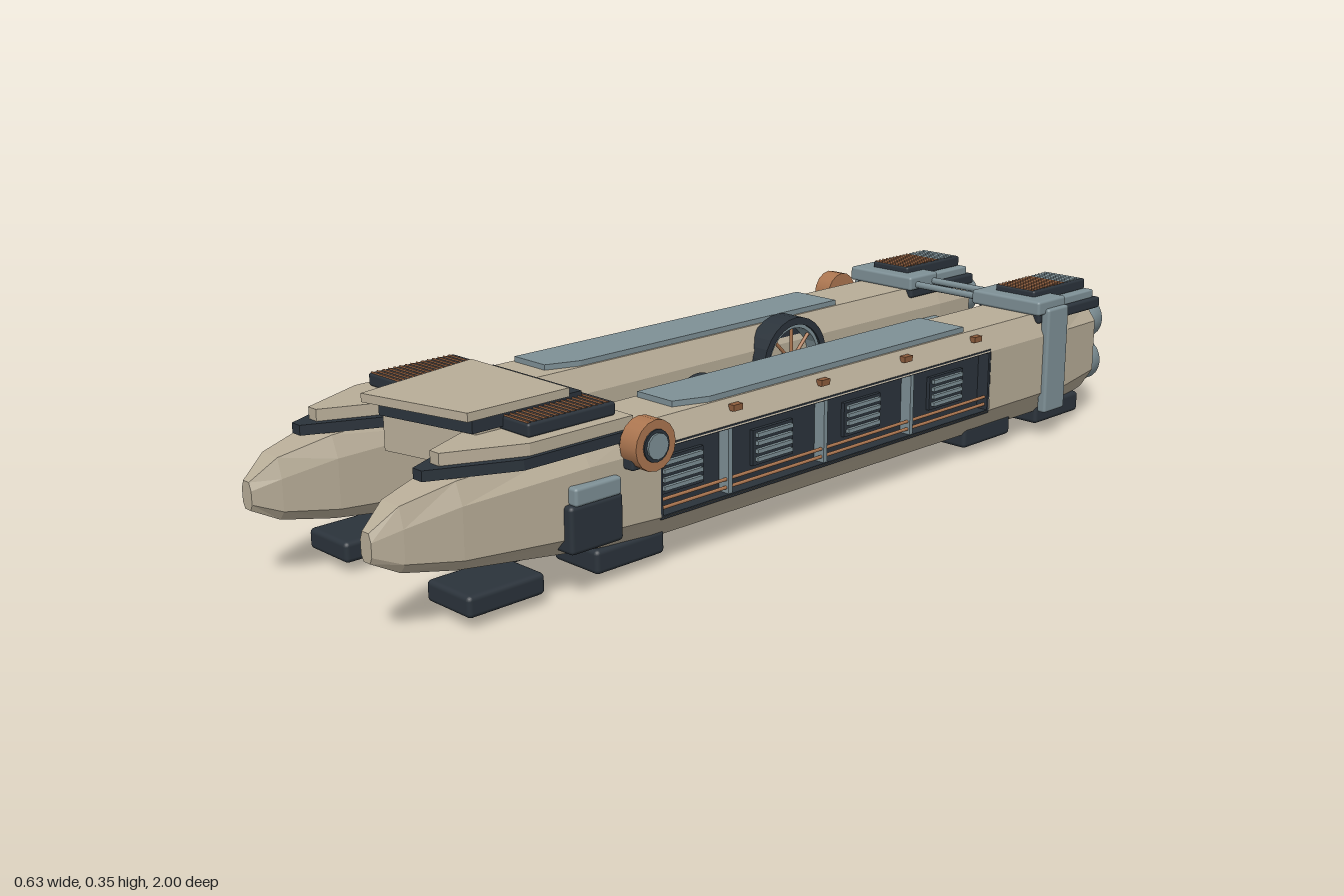
import * as THREE from 'three';
import { RoundedBoxGeometry } from 'three/addons/geometries/RoundedBoxGeometry.js';

const mat = (name, color, extra = {}) =>
  Object.assign(new THREE.MeshStandardMaterial({ color, ...extra }), { name });

export function createModel() {
  const root = new THREE.Group();
  root.name = 'twinHullCraft';
  const beige = mat('beigeHull', 0xb8ad98, { flatShading: true });
  const dark = mat('darkMetal', 0x2b333b);
  const steel = mat('blueSteel', 0x7e9096);
  const copper = mat('copper', 0xac7650);
  const brown = mat('brownSlats', 0x8c5c3c);

  const add = (parent, name, geo, m, x = 0, y = 0, z = 0) => {
    const mesh = new THREE.Mesh(geo, m);
    mesh.name = name;
    mesh.position.set(x, y, z);
    parent.add(mesh);
    return mesh;
  };
  // Box given by its limits, optionally with rounded edges
  const box = (p, name, m, [x0, x1], [y0, y1], [z0, z1], r = 0) => {
    const d = [Math.abs(x1 - x0), Math.abs(y1 - y0), Math.abs(z1 - z0)];
    const g = r ? new RoundedBoxGeometry(...d, 2, r) : new THREE.BoxGeometry(...d);
    return add(p, name, g, m, (x0 + x1) / 2, (y0 + y1) / 2, (z0 + z1) / 2);
  };
  // Flat plate from an x,z outline
  const plate = (p, name, m, pts, y0, y1) => {
    const s = new THREE.Shape(pts.map(([x, z]) => new THREE.Vector2(x, -z)));
    const g = new THREE.ExtrudeGeometry(s, { depth: y1 - y0, bevelEnabled: false });
    return add(p, name, g.rotateX(-Math.PI / 2), m, 0, y0, 0);
  };
  // Round bar between two points
  const bar = (p, name, m, a, b, r) => {
    const A = new THREE.Vector3(...a), B = new THREE.Vector3(...b), d = B.clone().sub(A);
    const mesh = add(p, name, new THREE.CylinderGeometry(r, r, d.length(), 8), m);
    mesh.position.copy(A).add(B).multiplyScalar(0.5);
    mesh.quaternion.setFromUnitVectors(new THREE.Vector3(0, 1, 0), d.normalize());
    return mesh;
  };

  // Hull sections: z, half widths (top, side, bottom), heights (top, shoulder, chine, bottom)
  const sections = [
    [1.0, .009, .015, .009, .2, .185, .16, .148],
    [.95, .024, .034, .02, .237, .2, .14, .122],
    [.85, .042, .058, .034, .26, .22, .126, .103],
    [.6, .06, .085, .05, .278, .235, .112, .073],
    [.44, .065, .09, .052, .283, .235, .105, .055],
    [-.52, .065, .09, .052, .283, .235, .105, .05],
    [-.8, .065, .09, .052, .283, .235, .105, .05],
    [-.93, .05, .075, .045, .265, .23, .115, .07],
  ];
  const ring = ([z, t, w, b, yt, ys, yc, yb]) => [
    [-t, yt], [t, yt], [w, ys], [w, yc], [b, yb], [-b, yb], [-w, yc], [-w, ys],
  ].map(([x, y]) => [x, y, z]);

  function hullGeometry(s) {
    const pos = [];
    const tri = (a, b, c) => (s > 0 ? [a, b, c] : [a, c, b])
      .forEach(v => pos.push(v[0] * s, v[1], v[2]));
    const rings = sections.map(ring);
    for (let i = 0; i < rings.length - 1; i++) {
      for (let k = 0; k < 8; k++) {
        if (i === 4 && k === 2) continue; // side opening
        const j = (k + 1) % 8, A = rings[i], B = rings[i + 1];
        tri(A[k], A[j], B[k]);
        tri(A[j], B[j], B[k]);
      }
    }
    const F = rings[0], R = rings[rings.length - 1];
    for (let k = 1; k < 7; k++) {
      tri(F[0], F[k + 1], F[k]);
      tri(R[0], R[k], R[k + 1]);
    }
    const g = new THREE.BufferGeometry();
    g.setAttribute('position', new THREE.Float32BufferAttribute(pos, 3));
    g.computeVertexNormals();
    return g;
  }

  // Roof vent: dark tray with tilted slats
  function roofVent(p, z0, z1, steelFrom) {
    box(p, 'ventTray', dark, [-.053, .053], [.303, .328], [z0, z1], .005);
    for (let z = z0 + .012; z < z1 - .008; z += .0125) {
      const m = z < steelFrom ? steel : brown;
      const slat = box(p, 'ventSlat', m, [-.047, .047], [.326, .329], [z - .0055, z + .0055]);
      slat.rotation.x = -.35;
    }
  }

  for (const s of [1, -1]) {
    const side = new THREE.Group();
    side.name = s > 0 ? 'leftHull' : 'rightHull';
    side.position.x = .18 * s;
    root.add(side);
    add(side, 'hullShell', hullGeometry(s), beige);
    const X = (a, b) => [a * s, b * s];

    // Recessed machinery bay
    box(side, 'bayBack', dark, X(.02, .062), [.1, .24], [-.525, .445]);
    box(side, 'bayFloor', dark, X(.06, .089), [.1, .107], [-.52, .44]);
    box(side, 'bayCeiling', dark, X(.06, .089), [.233, .24], [-.52, .44]);
    for (const z of [-.52, .434]) box(side, 'bayEnd', dark, X(.06, .089), [.105, .235], [z, z + .006]);
    for (const z of [.262, 0, -.262]) box(side, 'bayRib', steel, X(.06, .087), [.107, .233], [z - .005, z + .005]);
    for (const z of [.37, .13, -.128, -.395]) {
      box(side, 'grillePlate', dark, X(.06, .07), [.138, .208], [z - .055, z + .055]);
      for (let i = 0; i < 4; i++)
        box(side, 'grilleSlat', steel, X(.066, .077), [.146 + i * .016, .154 + i * .016], [z - .048, z + .048]);
    }
    for (const y of [.118, .134])
      bar(side, 'bayPipe', copper, [.08 * s, y, -.515], [.08 * s, y, .435], .0035);
    for (const z of [.43, .24, 0, -.25, -.48])
      box(side, 'sideMarker', brown, X(.072, .086), [.262, .274], [z - .012, z + .012]);

    // Deck panel
    plate(side, 'deckPanel', steel,
      [[-.058, -.46], [.06, -.46], [.06, .29], [.035, .36], [-.058, .36]], .282, .294);

    // Pointed bow deck
    const bow = (w, back, shoulder, tip) =>
      [[-w, back], [w, back], [w, shoulder], [.012, tip], [-.012, tip], [-w, shoulder]];
    plate(side, 'bowCollar', dark, bow(.083, .48, .74, .895), .262, .281);
    plate(side, 'bowDeck', beige, bow(.074, .49, .72, .86), .281, .303);
    roofVent(side, .51, .705, -9);

    // Stern deck and clamp
    box(side, 'sternCollar', dark, [-.083, .083], [.262, .287], [-.935, -.7], .006);
    box(side, 'sternDeck', steel, [-.073, .073], [.285, .305], [-.92, -.7], .004);
    roofVent(side, -.915, -.72, -.845);
    box(side, 'clampTop', steel, [-.092, .092], [.283, .315], [-.785, -.685], .006);
    box(side, 'clampSide', steel, X(.08, .102), [.06, .296], [-.785, -.71], .006);

    // Landing skids
    for (const [z, y] of [[.765, .06], [.485, .066], [-.56, .066], [-.82, .066]])
      box(side, 'landingSkid', dark, [-.06, .06], [.02, y], [z - .082, z + .082], .009);

    // Stacked thrusters
    for (const y of [.117, .217]) {
      const bell = new THREE.LatheGeometry([[.03, 0], [.044, .015], [.05, .04], [.049, .075],
        [.037, .075], [.034, .035]].map(v => new THREE.Vector2(...v)), 20);
      const m = mat.bell || (mat.bell = steel);
      add(side, 'thrusterBell', bell.rotateX(-Math.PI / 2), m, 0, y, -.925);
      const core = new THREE.SphereGeometry(.036, 16, 8, 0, Math.PI * 2, 0, Math.PI / 2);
      core.scale(1, .4, 1).rotateX(-Math.PI / 2);
      add(side, 'thrusterCore', core, copper, 0, y, -.965);
    }
  }

  // Keel and its braces
  box(root, 'keel', dark, [-.05, .05], [0, .06], [-.77, .655], .01);
  for (const s of [1, -1])
    for (const z of [-.55, -.27, -.02, .24, .5])
      bar(root, 'keelBrace', steel, [.042 * s, .045, z - .03], [.11 * s, .1, z + .03], .006);

  // Cross beams
  box(root, 'frontBeam', dark, [-.278, .278], [.09, .178], [.535, .655], .008);
  box(root, 'frontBeamCap', steel, [-.28, .28], [.176, .21], [.54, .645], .006);
  box(root, 'rearBeam', dark, [-.12, .12], [.09, .178], [-.79, -.67], .008);
  box(root, 'rearBeamCap', steel, [-.12, .12], [.176, .21], [-.785, -.675], .006);
  for (const z of [-.71, -.77]) bar(root, 'rearTieBar', steel, [-.11, .295, z], [.11, .295, z], .008);

  // Offset bridge with overhanging roof
  plate(root, 'bridgeBody', beige, [[-.1, .54], [.155, .54], [.155, .755], [-.05, .8], [-.1, .72]], .24, .31);
  plate(root, 'bridgeWindowBand', dark, [[-.085, .53], [.165, .53], [.165, .77], [-.04, .815]], .31, .338);
  plate(root, 'bridgeRoof', beige, [[-.098, .57], [.18, .57], [.18, .79], [-.047, .845]], .338, .354);

  // Spoked wheels on the inner hull walls
  function wheel(x, y, z, r, dir) {
    const w = new THREE.Group();
    w.name = 'spokedWheel';
    w.position.set(x, y, z);
    w.rotation.y = dir * Math.PI / 2;
    root.add(w);
    const annulus = (a, b, depth) => {
      const s = new THREE.Shape().absarc(0, 0, a, 0, Math.PI * 2);
      s.holes.push(new THREE.Path().absarc(0, 0, b, 0, Math.PI * 2, true));
      return new THREE.ExtrudeGeometry(s, { depth, bevelEnabled: false, curveSegments: 14 });
    };
    add(w, 'wheelTyre', annulus(r, r * .84, .055), dark);
    add(w, 'wheelRim', annulus(r * .86, r * .76, .05), steel);
    add(w, 'wheelBack', new THREE.CylinderGeometry(r * .8, r * .8, .012, 28).rotateX(Math.PI / 2), dark, 0, 0, .008);
    add(w, 'wheelHub', new THREE.CylinderGeometry(r * .16, r * .16, .06, 14).rotateX(Math.PI / 2), steel, 0, 0, .032);
    for (let i = 0; i < 8; i++) {
      const c = Math.cos(i * Math.PI / 4) * r * .8, d = Math.sin(i * Math.PI / 4) * r * .8;
      bar(w, 'wheelSpoke', copper, [0, 0, .042], [c, d, .042], r * .04);
    }
  }
  wheel(-.11, .2, -.26, .098, 1);
  wheel(.1, .2, .13, .07, -1);

  // Copper side drums, one on each outer wall
  for (const [s, z] of [[1, .485], [-1, -.645]]) {
    const drum = (name, r, a, b, m, n) =>
      add(root, name, new THREE.CylinderGeometry(r, r, b - a, n).rotateZ(Math.PI / 2), m, s * (a + b) / 2, .258, z);
    drum('sideDrum', .047, .265, .307, copper, 16);
    drum('drumRing', .03, .3, .31, dark, 16);
    drum('drumHub', .024, .3, .314, steel, 12);
    box(root, 'drumMount', dark, [.24 * s, .29 * s], [.215, .275], [z - .04, z + .04], .005);
  }
  return root;
}
